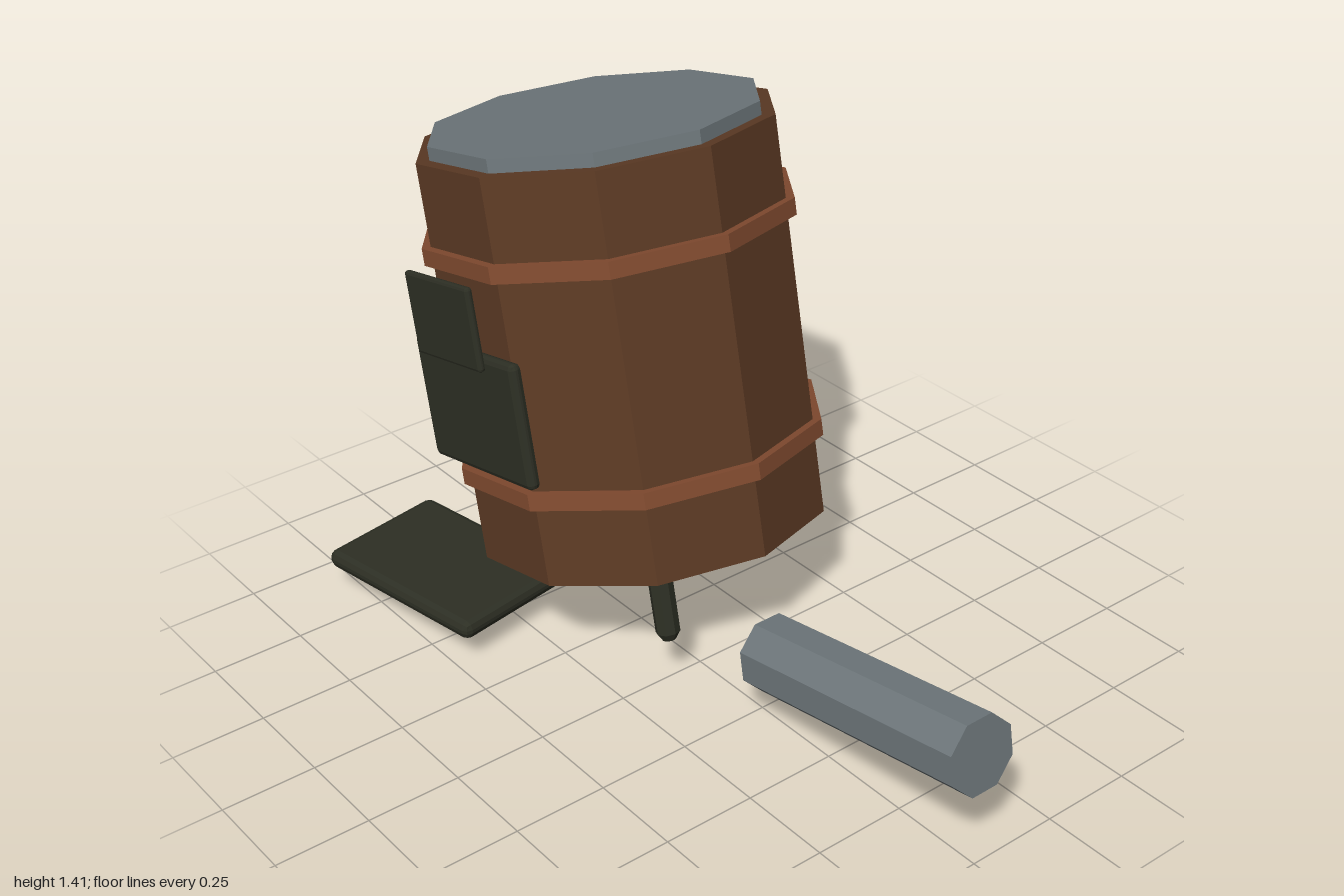
import * as THREE from 'three';
import { RoundedBoxGeometry } from 'three/addons/geometries/RoundedBoxGeometry.js';

const material = (name, color) => new THREE.MeshStandardMaterial({ name, color, flatShading: true });

export function createModel() {
  const wood = material('brown wood', 0x5c3a24);
  const copper = material('copper brown', 0x824b30);
  const steel = material('grey steel', 0x6e777b);
  const iron = material('dark olive iron', 0x2d2f24);

  const model = new THREE.Group();
  model.name = 'tippedBarrelSet';

  const add = (parent, name, geometry, mat, x, y, z) => {
    const mesh = new THREE.Mesh(geometry, mat);
    mesh.name = name;
    mesh.position.set(x, y, z);
    parent.add(mesh);
    return mesh;
  };

  // Ten-sided prism with corners on the x axis and a flat facing front
  const decagon = (radius, height) =>
    new THREE.CylinderGeometry(radius, radius, height, 10).rotateY(Math.PI / 2);

  // Leaning barrel; everything attached to it shares its tilt
  const barrel = new THREE.Group();
  barrel.name = 'barrel';
  barrel.position.set(-0.4375, 0.77, -0.107);
  barrel.rotation.z = THREE.MathUtils.degToRad(12);
  model.add(barrel);

  add(barrel, 'barrelBody', decagon(0.465, 1.058), wood, 0, 0, 0);
  add(barrel, 'lid', decagon(0.43, 0.08), steel, 0, 0.524, 0);
  add(barrel, 'upperBand', decagon(0.488, 0.044), copper, 0, 0.295, 0);
  add(barrel, 'lowerBand', decagon(0.488, 0.044), copper, 0, -0.293, 0);

  // Three pegs under the barrel, with chamfered ends
  const legProfile = [[0, -0.12], [0.018, -0.12], [0.032, -0.098], [0.032, 0.098], [0.018, 0.12], [0, 0.12]]
    .map(([r, y]) => new THREE.Vector2(r, y));
  const legGeometry = new THREE.LatheGeometry(legProfile, 8);
  for (const [name, x, z] of [['leftLeg', 0.312, 0.221], ['rightLeg', -0.312, 0.221], ['backLeg', 0, -0.328]]) {
    add(barrel, name, legGeometry, iron, x, -0.596, z);
  }

  // Overlapping plates on the front
  add(barrel, 'lowerFrontPlate', new RoundedBoxGeometry(0.44, 0.326, 0.034, 1, 0.014), iron, 0.001, -0.075, 0.476);
  add(barrel, 'upperFrontPlate', new RoundedBoxGeometry(0.287, 0.216, 0.02, 1, 0.008), iron, -0.037, 0.161, 0.5);

  // Loose slab low on the ground
  const slab = add(model, 'floorPlate', new RoundedBoxGeometry(0.54, 0.05, 0.372, 1, 0.02), iron, -0.655, 0.1, 0.343);
  slab.rotation.y = THREE.MathUtils.degToRad(10);

  // Eight-sided bar lying beside the barrel, flats facing up and front
  const bar = add(model, 'steelBar',
    new THREE.CylinderGeometry(0.1015, 0.1015, 0.736, 8).rotateY(Math.PI / 8).rotateZ(-Math.PI / 2),
    steel, 0.6225, 0.235, -0.015);
  bar.rotation.z = THREE.MathUtils.degToRad(10);

  return model;
}
